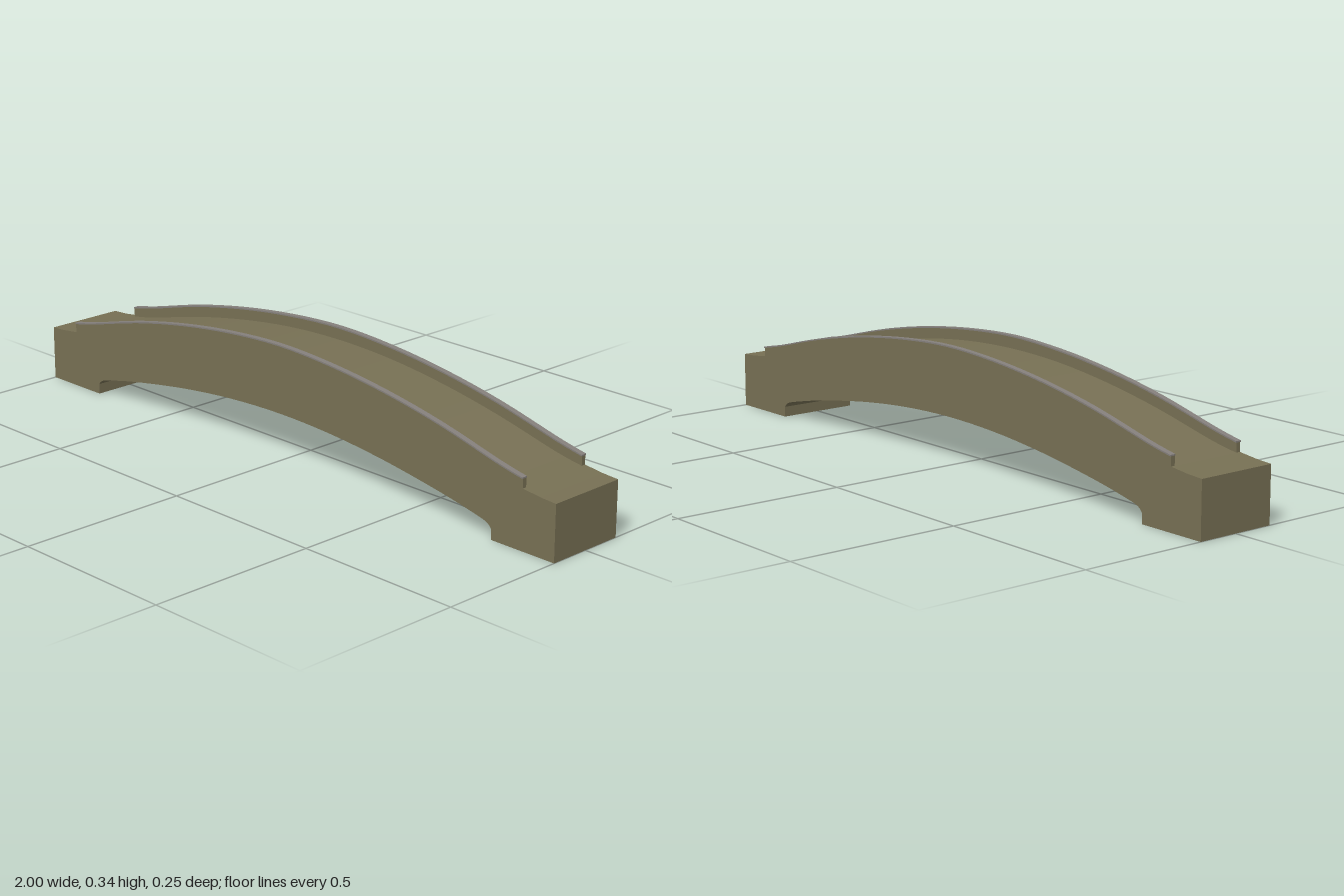
import * as THREE from 'three';

const HALF_W = 0.121;

// Smooth symmetric curve: right-half points from the crown outwards, returned left to right
function arc(half, n = 40) {
  const v = half.map(([x, y]) => new THREE.Vector2(x, y));
  const left = v.slice(1).reverse().map(p => new THREE.Vector2(-p.x, p.y));
  return new THREE.SplineCurve([...left, ...v]).getPoints(n);
}

// Extrude an x/y outline between two z positions
function slab(name, points, z0, z1, material) {
  const geo = new THREE.ExtrudeGeometry(new THREE.Shape(points), { depth: z1 - z0, bevelEnabled: false });
  geo.translate(0, 0, z0);
  const mesh = new THREE.Mesh(geo, material);
  mesh.name = name;
  return mesh;
}

const raise = (points, dy) => points.map(p => new THREE.Vector2(p.x, p.y + dy));

export function createModel() {
  const stone = new THREE.MeshStandardMaterial({ color: 0x777054 });
  stone.name = 'olive stone';
  const coping = new THREE.MeshStandardMaterial({ color: 0x85807c });
  coping.name = 'grey coping';

  const bridge = new THREE.Group();
  bridge.name = 'archBridge';

  const deck = arc([[0, 0.303], [0.2, 0.295], [0.4, 0.271], [0.6, 0.234], [0.8, 0.186], [0.89, 0.17]]);
  const rail = arc([[0, 0.336], [0.2, 0.326], [0.4, 0.302], [0.6, 0.265], [0.8, 0.215], [0.89, 0.196]]);
  const soffit = arc([[0, 0.14], [0.2, 0.133], [0.4, 0.113], [0.6, 0.082], [0.72, 0.058], [0.77, 0.045], [0.788, 0.03]], 48);

  // Arched span with a solid abutment at each end
  const P = (x, y) => new THREE.Vector2(x, y);
  const body = [
    P(-1, 0), P(-0.788, 0), ...soffit, P(0.788, 0), P(1, 0), P(1, 0.16), P(0.95, 0.163),
    ...[...deck].reverse(), P(-0.95, 0.163), P(-1, 0.16),
  ];
  bridge.add(slab('archSpan', body, -HALF_W, HALF_W, stone));

  // Parapet walls flush with the sides, each with a thin overhanging coping
  const wall = [...raise(deck, -0.004), ...[...rail].reverse()];
  const cap = [...rail, ...raise(rail, 0.004).reverse()];
  for (const side of [1, -1]) {
    const name = side > 0 ? 'front' : 'back';
    const span = (a, b) => (side > 0 ? [a, b] : [-b, -a]);
    bridge.add(slab(name + 'Parapet', wall, ...span(0.108, HALF_W), stone));
    bridge.add(slab(name + 'Coping', cap, ...span(0.1065, 0.1235), coping));
  }
  return bridge;
}
